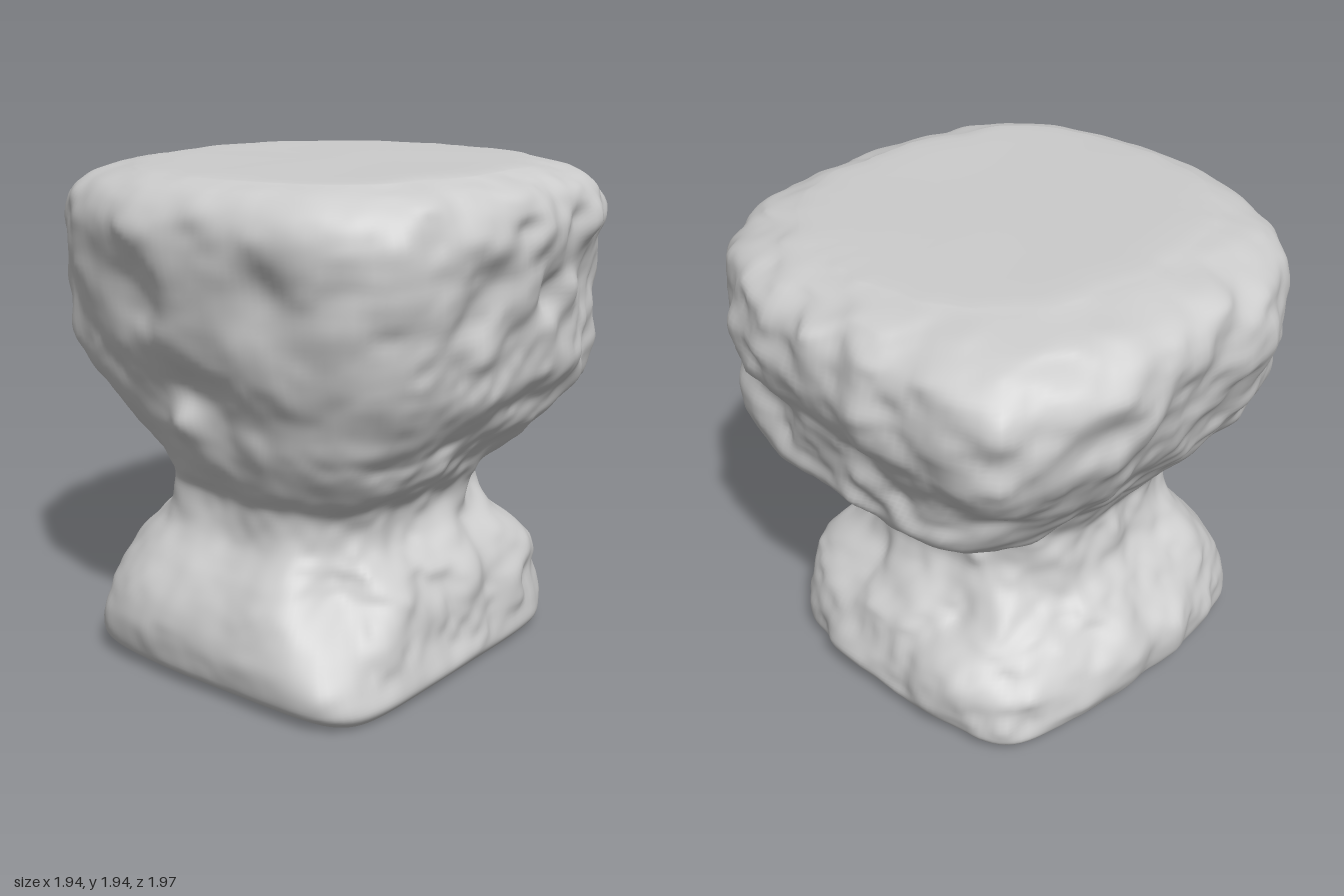
import * as THREE from 'three';

// Cross-sections from bottom to top: y, xMin, xMax, zMin, zMax, squareness
const SECTIONS = [
  [0.01, -0.63, 0.67, -0.63, 0.77, 8],
  [0.07, -0.7, 0.71, -0.7, 0.84, 6.5],
  [0.2, -0.72, 0.69, -0.72, 0.86, 5],
  [0.33, -0.67, 0.67, -0.66, 0.83, 4.4],
  [0.44, -0.58, 0.62, -0.55, 0.76, 4.2],
  [0.56, -0.49, 0.53, -0.48, 0.66, 4],
  [0.7, -0.46, 0.54, -0.46, 0.64, 3.8],
  [0.8, -0.47, 0.62, -0.49, 0.69, 3.6],
  [0.92, -0.55, 0.72, -0.66, 0.74, 3.4],
  [1.02, -0.63, 0.8, -0.78, 0.77, 3.3],
  [1.15, -0.74, 0.86, -0.8, 0.81, 3.2],
  [1.3, -0.83, 0.89, -0.82, 0.87, 3.2],
  [1.48, -0.91, 0.92, -0.93, 0.91, 3.2],
  [1.66, -0.95, 0.94, -0.96, 0.94, 3.2],
  [1.8, -0.93, 0.92, -0.94, 0.94, 3],
  [1.88, -0.84, 0.87, -0.84, 0.89, 2.7],
  [1.925, -0.65, 0.76, -0.69, 0.8, 2.4],
];

// Local hollows and bulges: x, y, z, radius, depth (positive is outward)
const DENTS = [
  // worn and jutting corners of the head
  [-0.76, 1.7, 0.76, 0.35, -0.05],
  [-0.64, 1.17, 0.66, 0.26, 0.09],
  [0.76, 1.7, -0.76, 0.35, -0.04],
  [0.68, 1.2, -0.65, 0.25, 0.07],
  [-0.76, 1.45, -0.76, 0.27, 0.07],
  // corners of the foot and waist
  [-0.6, 0.2, -0.6, 0.3, -0.08],
  [-0.4, 0.65, -0.4, 0.25, -0.06],
  [-0.6, 0.15, 0.7, 0.28, -0.06],
  [-0.5, 0.5, 0.6, 0.15, 0.04],
  [0.55, 0.48, -0.47, 0.18, 0.07],
  [0.65, 0.1, -0.65, 0.2, -0.04],
  // notch beside the front slab
  [0.57, 0.44, 0.66, 0.18, -0.14],
  // knob and arch on the front
  [-0.07, 1.03, 0.77, 0.08, 0.06],
  [-0.07, 1.14, 0.8, 0.15, -0.05],
  [0.0, 1.36, 0.88, 0.15, 0.03],
  [-0.1, 1.72, 0.95, 0.2, 0.04],
  [-0.2, 1.52, 0.92, 0.16, -0.03],
  [0.4, 1.53, 0.88, 0.14, -0.05],
  [-0.5, 1.3, 0.8, 0.16, -0.03],
  // hollows on the side
  [0.9, 1.5, 0.3, 0.12, -0.05],
  [0.9, 1.5, -0.1, 0.12, -0.04],
  [0.88, 1.45, -0.5, 0.12, -0.05],
  [0.8, 0.97, 0.28, 0.11, -0.05],
];

// Smooth lattice noise in -1..1
function hash(x, y, z) {
  const s = Math.sin(x * 127.1 + y * 311.7 + z * 74.7) * 43758.5453;
  return (s - Math.floor(s)) * 2 - 1;
}
function noise(x, y, z) {
  const i = [x, y, z].map(Math.floor);
  const [u, v, w] = [x - i[0], y - i[1], z - i[2]].map((t) => t * t * (3 - 2 * t));
  let sum = 0;
  for (let k = 0; k < 8; k++) {
    const a = k & 1, b = (k >> 1) & 1, c = k >> 2;
    sum += hash(i[0] + a, i[1] + b, i[2] + c) * (a ? u : 1 - u) * (b ? v : 1 - v) * (c ? w : 1 - w);
  }
  return sum;
}

// Smoothly interpolated cross-section at parameter t in 0..1
function sectionAt(t) {
  const f = t * (SECTIONS.length - 1);
  const i = Math.min(Math.floor(f), SECTIONS.length - 2);
  const row = (k) => SECTIONS[THREE.MathUtils.clamp(k, 0, SECTIONS.length - 1)];
  const u = f - i;
  return row(i).map((b, k) => {
    const a = row(i - 1)[k], c = row(i + 1)[k], d = row(i + 2)[k];
    return b + 0.5 * u * (c - a + u * (2 * a - 5 * b + 4 * c - d + u * (3 * (b - c) + d - a)));
  });
}

// Point on the weathered surface
function surfacePoint(t, angle) {
  const [y, x0, x1, z0, z1, n] = sectionAt(t);
  const c = Math.cos(angle), s = Math.sin(angle);
  const r = Math.pow(Math.abs(c) ** n + Math.abs(s) ** n, -1 / n);
  const p = new THREE.Vector3((x0 + x1) / 2 + r * c * (x1 - x0) / 2, y, (z0 + z1) / 2 + r * s * (z1 - z0) / 2);
  const rough = THREE.MathUtils.smoothstep(y, 0.01, 0.15);
  const front = THREE.MathUtils.smoothstep(s, 0.5, 0.9);
  let push = rough * ((0.024 - 0.01 * front) * noise(p.x * 4, p.y * 4.5, p.z * 4)
    + (0.032 - 0.018 * front) * noise(p.x * 7.5 + 7, p.y * 7.5, p.z * 7.5)
    + (0.01 - 0.006 * front) * noise(p.x * 16, p.y * 16 + 3, p.z * 16));
  for (const [dx, dy, dz, radius, depth] of DENTS) {
    const d2 = (p.x - dx) ** 2 + (p.y - dy) ** 2 + (p.z - dz) ** 2;
    push += depth * Math.exp(-d2 / (radius * radius));
  }
  p.x += c * push;
  p.z += s * push;
  p.y += 0.012 * rough * noise(p.x * 6 + 20, p.y * 6, p.z * 6) * Math.min(1, (1 - t) / 0.05);
  return p;
}

// Closed skin through a stack of rings
function skin(rings, cols) {
  const pos = [], index = [];
  rings.forEach((ring) => ring.forEach((p) => pos.push(p.x, p.y, p.z)));
  for (let r = 0; r < rings.length - 1; r++) {
    for (let k = 0; k < cols; k++) {
      const a = r * cols + k, b = r * cols + (k + 1) % cols;
      index.push(a, a + cols, b, b, a + cols, b + cols);
    }
  }
  const g = new THREE.BufferGeometry();
  g.setAttribute('position', new THREE.Float32BufferAttribute(pos, 3));
  g.setIndex(index);
  g.computeVertexNormals();
  return g;
}

export function createModel() {
  const group = new THREE.Group();
  group.name = 'weatheredStonePedestal';
  const material = new THREE.MeshStandardMaterial({ color: 0xcccccc, roughness: 0.9 });
  const add = (name, geometry) => {
    const mesh = new THREE.Mesh(geometry, material);
    mesh.name = name;
    group.add(mesh);
  };

  const cols = 192, rows = 130;
  const ringAt = (t) => Array.from({ length: cols }, (_, k) => surfacePoint(t, (k / cols) * Math.PI * 2));
  const rings = Array.from({ length: rows + 1 }, (_, r) => ringAt(r / rows));

  // Top slab surface, shrinking gently to the centre
  const rim = rings[rows];
  const middle = new THREE.Vector3(0.04, 1.93, 0.04);
  for (const k of [0.92, 0.75, 0.5, 0.25, 0]) {
    rings.push(rim.map((p) => {
      const q = middle.clone().lerp(p, k);
      q.y = 1.93 + 0.008 * k * noise(q.x * 3, 5, q.z * 3);
      return q;
    }));
  }
  add('stoneBody', skin(rings, cols));

  // Flat underside
  const foot = rings[0];
  const inner = foot.map((p) => new THREE.Vector3(p.x * 0.96, 0, p.z * 0.96));
  const centre = foot.map(() => new THREE.Vector3(0, 0, 0.06));
  add('underside', skin([centre, inner, foot], cols));
  return group;
}
